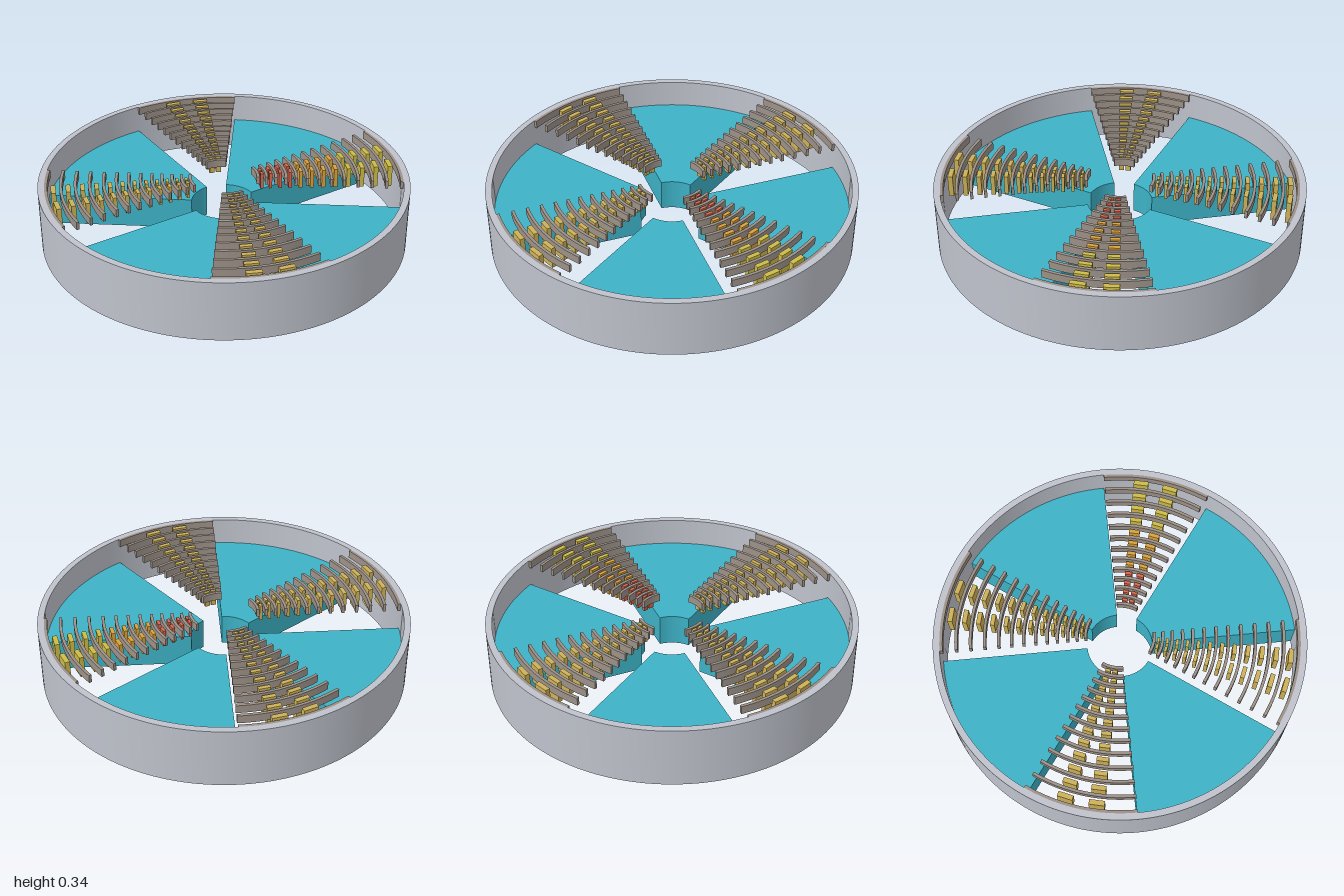
import * as THREE from 'three';
import { toCreasedNormals } from 'three/addons/utils/BufferGeometryUtils.js';

const mat = (name, color) => {
  const m = new THREE.MeshStandardMaterial({ color });
  m.name = name;
  return m;
};

const HEIGHT = 0.34;
const GAP = Math.PI / 5;              // 36 degree open bays
const finRadii = [0.957, 0.877, 0.8, 0.725, 0.65, 0.581, 0.516, 0.452, 0.391, 0.336, 0.281, 0.23, 0.184];

// Upright extrusion of a plan shape, smooth round its curves
function extrudeUp(shape, height, curveSegments) {
  const geo = new THREE.ExtrudeGeometry(shape, { depth: height, bevelEnabled: false, curveSegments });
  geo.rotateX(-Math.PI / 2);
  return toCreasedNormals(geo, 0.5);
}

// Part of a flat ring between two radii and two angles
function sector(r0, r1, a0, a1, height, segments) {
  const s = new THREE.Shape();
  s.absarc(0, 0, r1, a0, a1, false);
  s.absarc(0, 0, r0, a1, a0, true);
  s.closePath();
  return extrudeUp(s, height, segments);
}

export function createModel() {
  const model = new THREE.Group();
  const grey = mat('housing grey', 0xbfc3cc);
  const teal = mat('block teal', 0x3db2c6);
  const brown = mat('fin grey brown', 0x9c9188);
  const gold = mat('pin gold', 0xcdb158);
  const yellow = mat('pin yellow', 0xcdbb48);
  const orange = mat('pin orange', 0xd9a23e);
  const red = mat('pin red', 0xd8674e);

  const add = (parent, name, geo, material) => {
    const mesh = new THREE.Mesh(geo, material);
    mesh.name = name;
    parent.add(mesh);
    return mesh;
  };

  // Outer housing ring
  const ring = new THREE.Shape().absarc(0, 0, 1, 0, Math.PI * 2, false);
  ring.holes.push(new THREE.Path().absarc(0, 0, 0.965, 0, Math.PI * 2, true));
  add(model, 'housingRing', extrudeUp(ring, HEIGHT, 96), grey);

  // Geometry shared by the four quarters
  const blockGeo = sector(0.178, 0.966, GAP, Math.PI / 2, 0.18, 32);
  const finGeos = finRadii.map((r) => sector(r - 0.008, r + 0.008, 0, GAP, 0.045, 20));

  for (let q = 0; q < 4; q++) {
    const quarter = new THREE.Group();
    quarter.name = 'quarter' + (q + 1);
    quarter.rotation.y = q * Math.PI / 2;
    model.add(quarter);

    add(quarter, 'wedgeBlock', blockGeo, teal);

    // Curved fins across the bay
    finGeos.forEach((geo) => {
      add(quarter, 'curvedFin', geo, brown).position.y = HEIGHT - 0.045;
    });

    // Pairs of pins hanging between the fins
    for (let i = 0; i < finRadii.length - 1; i++) {
      const r = (finRadii[i] + finRadii[i + 1]) / 2;
      const h = 0.08 + 0.05 * r;
      const geo = new THREE.BoxGeometry(0.012 + 0.016 * r, h, 0.012 + 0.076 * r);
      const material = q > 0 ? gold : i < 4 ? yellow : i < 8 ? orange : red;
      for (const side of [-1, 1]) {
        const a = GAP / 2 + side * 0.09;
        const pin = add(quarter, 'pin', geo, material);
        pin.position.set(r * Math.cos(a), HEIGHT - h / 2, -r * Math.sin(a));
        pin.rotation.y = a;
      }
    }
  }
  return model;
}
